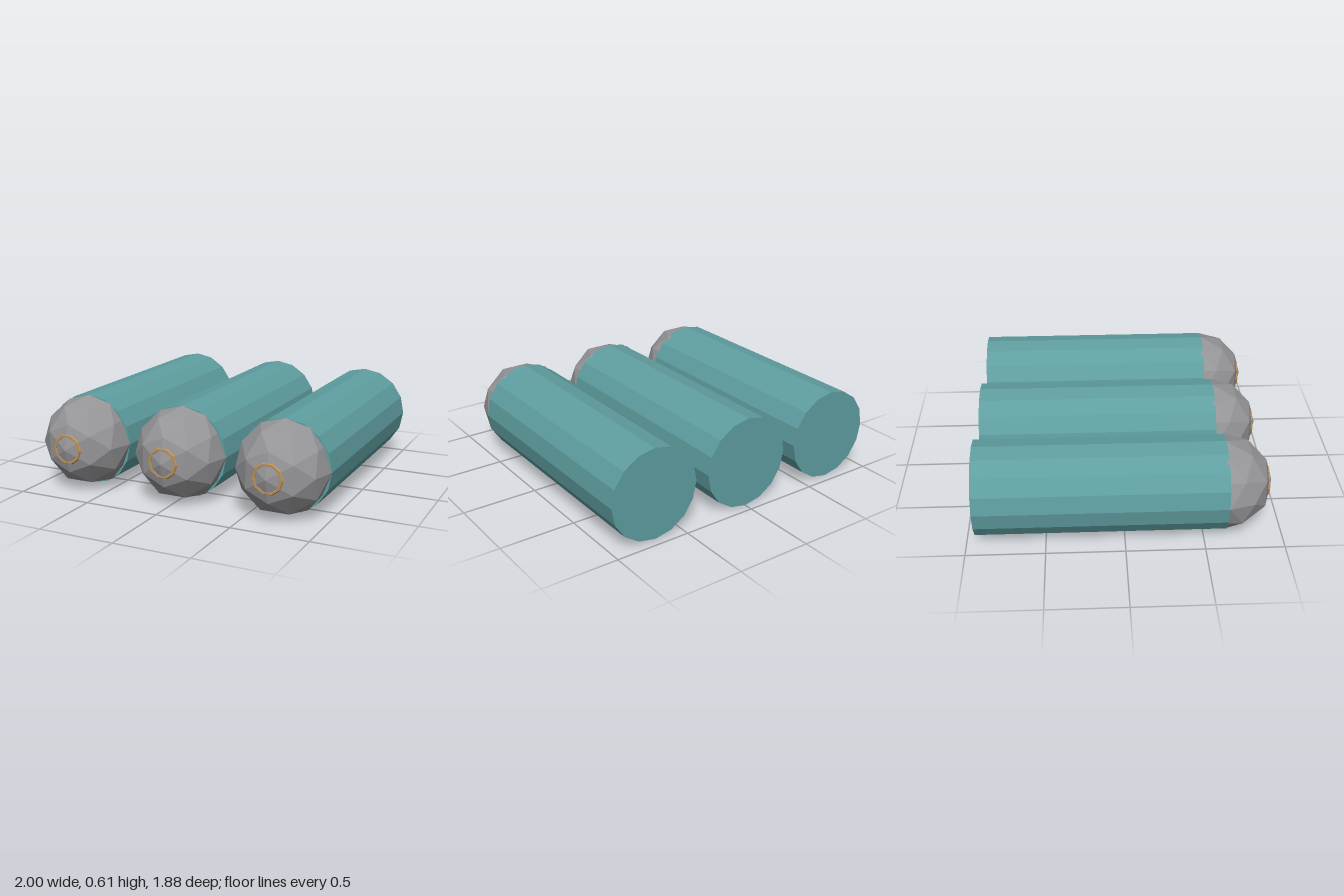
import * as THREE from 'three';

const R = 0.303;        // tube radius
const BACK = -0.94;     // rear end of the tubes
const NOSE = 0.637;     // where tube meets rounded nose
const SPACING = 0.697;

const mat = (name, color) => {
  const m = new THREE.MeshStandardMaterial({ color, flatShading: true });
  m.name = name;
  return m;
};

export function createModel() {
  const teal = mat('teal', 0x5f9ea0);
  const grey = mat('grey', 0x959598);
  const bronze = mat('bronze', 0xb8905a);

  // Shared geometry, each lying along z
  const tubeGeo = new THREE.CylinderGeometry(R, R, NOSE - BACK, 16).rotateX(Math.PI / 2);
  const noseGeo = new THREE.IcosahedronGeometry(R, 1);
  const ringGeo = new THREE.TorusGeometry(0.09, 0.013, 6, 10);

  const part = (name, geo, material, z) => {
    const mesh = new THREE.Mesh(geo, material);
    mesh.name = name;
    mesh.position.z = z;
    return mesh;
  };

  const model = new THREE.Group();
  model.name = 'tubeRow';

  // Three identical tubes side by side
  ['right', 'middle', 'left'].forEach((side, i) => {
    const unit = new THREE.Group();
    unit.name = side + 'Tube';
    unit.position.set((i - 1) * SPACING, R, 0);
    unit.add(
      part('body', tubeGeo, teal, (NOSE + BACK) / 2),
      part('nose', noseGeo, grey, NOSE),
      part('noseRing', ringGeo, bronze, 0.905)
    );
    model.add(unit);
  });
  return model;
}
